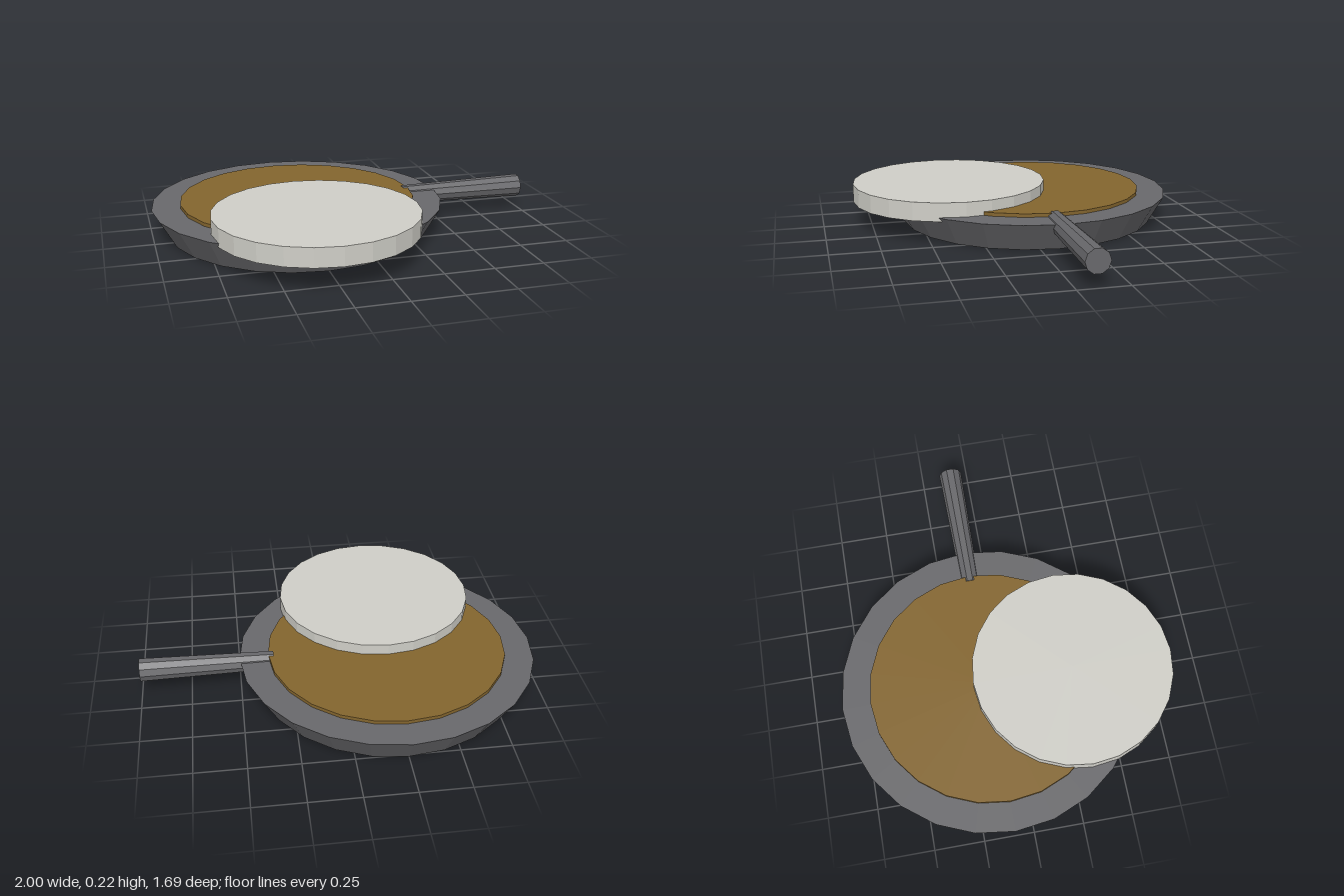
import * as THREE from 'three';

const flat = (color, name) => {
  const m = new THREE.MeshStandardMaterial({ color, flatShading: true });
  m.name = name;
  return m;
};

export function createModel() {
  const iron = flat(0x68686b, 'dark iron');
  const crust = flat(0x83652e, 'golden brown');
  const cream = flat(0xcfcec7, 'pale cream');

  const group = new THREE.Group();
  group.name = 'fryingPan';

  // Upright disc standing between two heights
  const disc = (name, material, rTop, rBottom, y0, y1, x, z) => {
    const mesh = new THREE.Mesh(new THREE.CylinderGeometry(rTop, rBottom, y1 - y0, 24), material);
    mesh.name = name;
    mesh.position.set(x, (y0 + y1) / 2, z);
    group.add(mesh);
  };

  // Solid flared pan, the raised filling, and the disc leaning over the front rim
  disc('panBody', iron, 0.75, 0.668, 0, 0.145, -0.25, -0.095);
  disc('filling', crust, 0.605, 0.605, 0.1, 0.163, -0.25, -0.095);
  disc('paleDisc', cream, 0.508, 0.508, 0.124, 0.219, -0.25, 0.333);

  // Ten-sided handle, thicker at the outer end
  const start = 0.328, end = 1;
  const handle = new THREE.Mesh(new THREE.CylinderGeometry(0.048, 0.06, end - start, 10), iron);
  handle.name = 'handle';
  handle.rotation.z = Math.PI / 2;
  handle.position.set((start + end) / 2, 0.122, -0.095);
  group.add(handle);

  return group;
}
